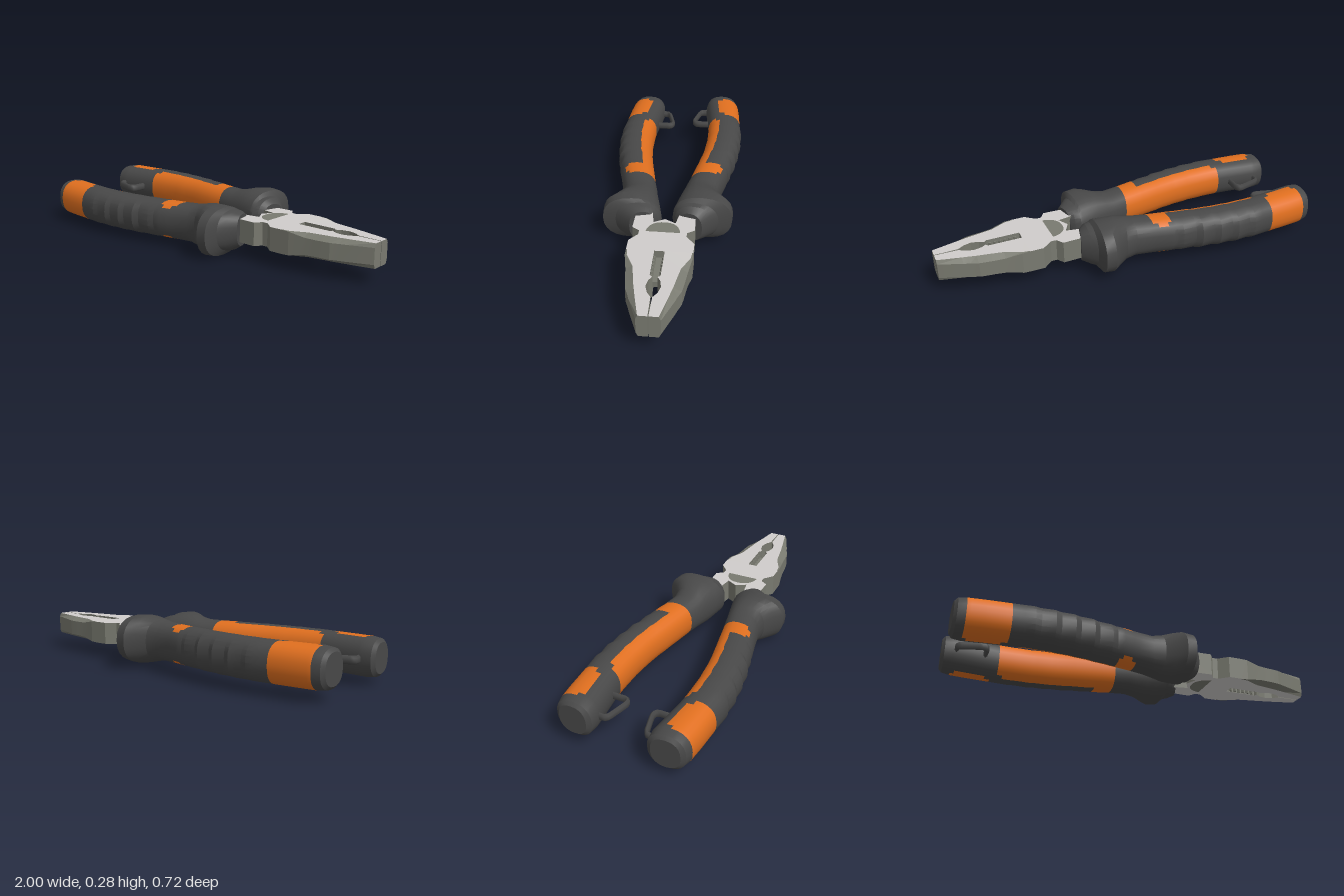
import * as THREE from 'three';
import { toCreasedNormals } from 'three/addons/utils/BufferGeometryUtils.js';

const mat = (name, color) => Object.assign(new THREE.MeshStandardMaterial({ color }), { name });

// Skin rings of [x, y, z] points; pick(mid x, segment) chooses the material index of each face
function loft(rings, pick, crease) {
  const buckets = [[], []];
  const n = rings[0].length;
  for (let s = 0; s < rings.length - 1; s++) {
    for (let j = 0; j < n; j++) {
      const k = (j + 1) % n;
      const a = rings[s][j], b = rings[s + 1][j], c = rings[s + 1][k], d = rings[s][k];
      buckets[pick((a[0] + b[0] + c[0] + d[0]) / 4, j)].push(...a, ...b, ...c, ...a, ...c, ...d);
    }
  }
  const first = rings[0], last = rings[rings.length - 1];
  const centre = r => [0, 1, 2].map(i => r.reduce((t, p) => t + p[i], 0) / n);
  for (let j = 0; j < n; j++) {
    const k = (j + 1) % n;
    buckets[0].push(...centre(first), ...first[j], ...first[k]);
    buckets[0].push(...centre(last), ...last[k], ...last[j]);
  }
  const geo = new THREE.BufferGeometry();
  geo.setAttribute('position', new THREE.Float32BufferAttribute(buckets.flat(), 3));
  geo.addGroup(0, buckets[0].length / 3, 0);
  geo.addGroup(buckets[0].length / 3, buckets[1].length / 3, 1);
  return toCreasedNormals(geo, crease);
}

// Grip stations: x, inner z, outer z
const GRIP = [
  [-.94, .133, .336], [-.92, .135, .338], [-.85, .143, .345], [-.76, .154, .35], [-.73, .157, .352],
  [-.7, .16, .354], [-.67, .161, .357], [-.62, .161, .362], [-.59, .161, .353], [-.52, .16, .36],
  [-.49, .157, .347], [-.42, .151, .35], [-.39, .148, .335], [-.32, .137, .335], [-.29, .131, .316],
  [-.22, .118, .312], [-.19, .112, .298], [-.17, .108, .298], [-.15, .104, .294], [-.1, .095, .282],
  [-.075, .09, .276],
].map(([x, zi, zo]) => [x, zi, x, zo, -.11, .088]);
// End cap and guard stations: inner x, inner z, outer x, outer z, bottom y, top y
const STATIONS = [
  [-1, .16, -.995, .305, -.088, .066],
  [-.985, .138, -.98, .325, -.104, .082],
  ...GRIP,
  [0, .073, .02, .257, -.112, .09],
  [.04, .066, .08, .264, -.122, .1],
  [.1, .052, .13, .3, -.137, .113],
  [.15, .04, .17, .337, -.14, .115],
  [.2, .029, .222, .334, -.135, .11],
  [.215, .028, .238, .265, -.112, .096],
  [.245, .04, .26, .235, -.108, .092],
  [.268, .062, .3, .185, -.085, .08],
];
const SIDES = 24;

function gripGeometry() {
  const soft = v => Math.sign(v) * Math.abs(v) ** .85;
  const rings = STATIONS.map(([xi, zi, xo, zo, lo, hi]) => Array.from({ length: SIDES }, (_, j) => {
    const t = j / SIDES * Math.PI * 2;
    const u = (soft(Math.cos(t)) + 1) / 2, v = (soft(Math.sin(t)) + 1) / 2;
    return [xi + (xo - xi) * u, lo + (hi - lo) * v, zi + (zo - zi) * u];
  }));
  // Coloured pads with clipped corners: outer end pad, long inner pad and its tab over the sides
  const pick = (x, j) => {
    const c = Math.cos((j + .5) / SIDES * Math.PI * 2);
    const endPad = x > -.94 && x < -.73 && c > (x < -.92 || x > -.76 ? .1 : -.2);
    const innerPad = x > -.7 && x < -.075 && c < (x < -.67 ? -.5 : -.3);
    const tab = x > -.17 && x < -.075 && c < (x < -.15 || x > -.1 ? .45 : .65);
    return endPad || innerPad || tab ? 1 : 0;
  };
  return loft(rings, pick, .4);
}

// Jaw stations: x, inner z, bevel z, outer z, half height of the outer edge
const JAW = [
  [.56, .025, .155, .16, .06], [.6, .025, .15, .16, .058], [.68, .025, .112, .145, .042],
  [.735, .025, .102, .138, .04], [.745, .012, .1, .137, .04], [.77, .027, .096, .134, .04],
  [.81, .035, .089, .128, .04], [.85, .024, .08, .112, .04], [.88, .004, .074, .102, .04],
  [1, .002, .046, .055, .04],
];

function jawGeometry() {
  const rings = JAW.map(([x, zi, zm, zo, h]) => [
    [x, -h, zo], [x, h, zo], [x, .06, zm], [x, .06, zi], [x, -.06, zi], [x, -.06, zm],
  ]);
  // Flat top and bottom are polished
  return loft(rings, (x, j) => (j === 2 || j === 4 ? 1 : 0), .1);
}

export function createModel() {
  const rubber = mat('dark rubber', 0x484848);
  const orange = mat('orange rubber', 0xe06f1f);
  const steel = mat('dark steel', 0x797a70);
  const polished = mat('polished steel', 0xd0cdcb);

  const model = new THREE.Group();
  model.name = 'pliers';
  const add = (parent, name, geo, material) => {
    const mesh = new THREE.Mesh(geo, material);
    mesh.name = name;
    parent.add(mesh);
    return mesh;
  };
  const tool = new THREE.Group();
  tool.name = 'tool';
  tool.position.y = .14;
  model.add(tool);

  // D-shaped pivot face
  const dShape = new THREE.Shape();
  dShape.moveTo(.415, .085);
  dShape.quadraticCurveTo(.355, .078, .338, .03);
  dShape.quadraticCurveTo(.332, 0, .338, -.03);
  dShape.quadraticCurveTo(.355, -.078, .415, -.085);

  // Pivot body outline with both shanks
  const edge = [[.335, .055], [.22, .075], [.22, .15], [.385, .155], [.41, .118],
    [.44, .118], [.49, .16], [.56, .16]];
  const outline = new THREE.Shape([[.305, 0], ...edge, ...edge.map(([x, z]) => [x, -z]).reverse()]
    .map(p => new THREE.Vector2(...p)));
  const body = new THREE.ExtrudeGeometry(outline, { depth: .12, bevelEnabled: false });
  add(tool, 'pivotBody', body.rotateX(Math.PI / 2).translate(0, .06, 0), [polished, steel]);

  // Two halves, the second turned half over about the long axis
  const grip = gripGeometry();
  const jaw = jawGeometry();
  const pivotFace = new THREE.ShapeGeometry(dShape).rotateX(-Math.PI / 2).translate(0, .062, 0);
  const hookPath = new THREE.CatmullRomCurve3([
    [-.925, .16], [-.925, .108], [-.905, .094], [-.81, .068], [-.785, .07], [-.775, .09], [-.775, .18],
  ].map(([x, z]) => new THREE.Vector3(x, 0, z)), false, 'catmullrom', .2);
  const hook = new THREE.TubeGeometry(hookPath, 24, .012, 6).scale(1, 1.8, 1).translate(0, -.011, 0);
  ['left', 'right'].forEach((side, i) => {
    const half = new THREE.Group();
    half.name = side + 'Half';
    half.rotation.x = i * Math.PI;
    tool.add(half);
    add(half, side + 'Grip', grip, [rubber, orange]);
    add(half, side + 'Hook', hook, rubber);
    add(half, side + 'Jaw', jaw, [steel, polished]);
    add(half, side + 'PivotFace', pivotFace, steel);
    // Gripping teeth along the inner edge of the jaw
    for (let t = 0; t < 6; t++) {
      const tooth = add(half, side + 'Tooth', new THREE.BoxGeometry(.014, .1, .014), steel);
      tooth.position.set(.585 + t * .026, i ? .006 : -.006, .024);
      tooth.rotation.y = Math.PI / 4;
    }
  });

  // Floor of the groove between the jaws
  add(tool, 'grooveFloor', new THREE.BoxGeometry(.18, .03, .056), steel).position.set(.645, .005, 0);
  return model;
}
